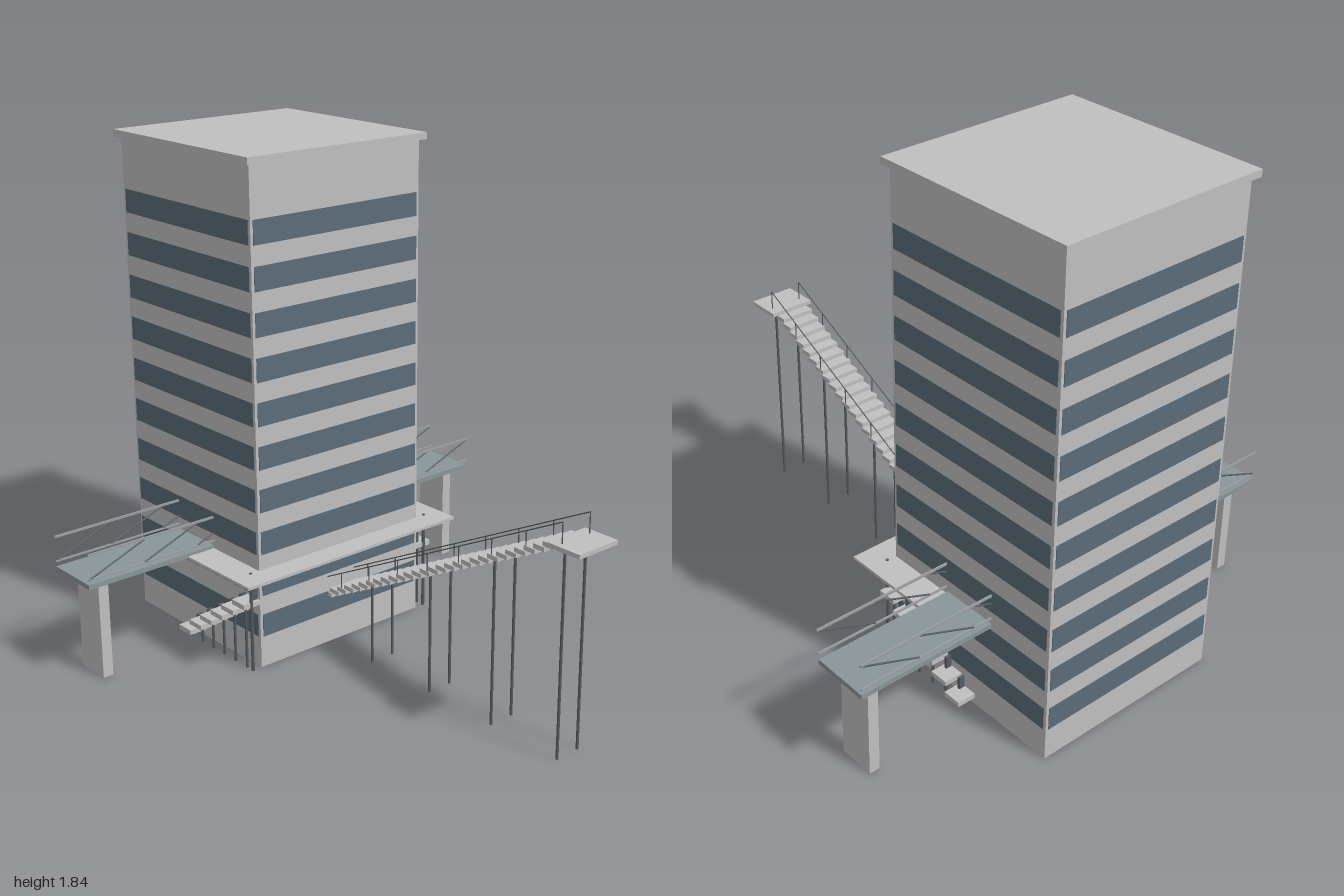
import * as THREE from 'three';

const mat = (name, color) => {
  const m = new THREE.MeshStandardMaterial({ color });
  m.name = name;
  return m;
};

export function createModel() {
  const concrete = mat('concrete', 0xbfbfbf);
  const glass = mat('window glass', 0x5b6c78);
  const deckBlue = mat('bridge deck', 0x89969a);
  const steel = mat('dark steel', 0x555c62);
  const rail = mat('rail grey', 0x9a9ea1);

  const root = new THREE.Group();
  root.name = 'towerWithWalkways';
  const group = (name) => {
    const g = new THREE.Group();
    g.name = name;
    root.add(g);
    return g;
  };
  // Box given by its minimum and maximum corners
  const box = (parent, name, m, x0, x1, y0, y1, z0, z1) => {
    const mesh = new THREE.Mesh(new THREE.BoxGeometry(x1 - x0, y1 - y0, z1 - z0), m);
    mesh.position.set((x0 + x1) / 2, (y0 + y1) / 2, (z0 + z1) / 2);
    mesh.name = name;
    parent.add(mesh);
  };
  // Thin round bar between two points
  const bar = (parent, name, m, a, b, r) => {
    const p = new THREE.Vector3(...a), q = new THREE.Vector3(...b);
    const d = q.clone().sub(p);
    const mesh = new THREE.Mesh(new THREE.CylinderGeometry(r, r, d.length(), 8), m);
    mesh.position.copy(p).add(q).multiplyScalar(0.5);
    mesh.quaternion.setFromUnitVectors(new THREE.Vector3(0, 1, 0), d.normalize());
    mesh.name = name;
    parent.add(mesh);
  };

  // Tower, roof slab and window bands on all four faces
  const tower = group('tower');
  const zc = -0.605, h = 0.375, w = 0.364, t = 0.002;
  box(tower, 'towerBody', concrete, -h, h, 0, 1.815, zc - h, zc + h);
  box(tower, 'roofSlab', concrete, -0.395, 0.395, 1.815, 1.84, -1, -0.21);
  for (let i = 0; i < 10; i++) {
    const y = 0.118 + i * 0.1583;
    for (const s of [-1, 1]) {
      const f = zc + s * h, x = s * h;
      box(tower, 'windowBand', glass, -w, w, y, y + 0.086, f - t, f + t);
      box(tower, 'windowBand', glass, x - t, x + t, y, y + 0.086, zc - w, zc + w);
    }
  }

  // Terrace wrapping the front of the tower
  const terrace = group('terrace');
  box(terrace, 'terraceSlab', concrete, -0.49, 0.488, 0.366, 0.377, -0.5, -0.14);
  for (const s of [-1, 1])
    bar(terrace, 'terraceColumn', steel, [s * 0.413, 0, -0.23], [s * 0.413, 0.38, -0.23], 0.006);

  // Side bridges with piers and braced railings
  for (const s of [-1, 1]) {
    const bridge = group(s > 0 ? 'leftBridge' : 'rightBridge');
    const inner = s * 0.37, outer = s * 0.902;
    const x0 = Math.min(inner, outer), x1 = Math.max(inner, outer);
    box(bridge, 'bridgeDeck', deckBlue, x0, x1, 0.37, 0.388, -0.717, -0.5);
    box(bridge, 'bridgePier', concrete, s * 0.825 - 0.02, s * 0.825 + 0.02, 0, 0.37, -0.672, -0.535);
    for (const z of [-0.715, -0.497]) {
      box(bridge, 'topRail', rail, x0, x1, 0.496, 0.504, z - 0.003, z + 0.003);
      box(bridge, 'bottomRail', rail, x0, x1, 0.405, 0.411, z - 0.003, z + 0.003);
      // Braces lean the same way on both bridges
      for (let k = 0; k < 2; k++) {
        const a = (s > 0 ? 0.45 : -0.896) + k * 0.223;
        bar(bridge, 'brace', steel, [a, 0.411, z], [a + 0.223, 0.496, z], 0.003);
      }
      const e = s > 0 ? 0.36 : -0.45;
      const slope = 0.085 / 0.223;
      const y0 = s > 0 ? 0.461 : 0.411;
      bar(bridge, 'brace', steel, [e, y0, z], [e + 0.09, y0 + 0.09 * slope, z], 0.003);
    }
  }

  // Long front staircase with landing, slim columns and handrails
  const stair = group('frontStair');
  box(stair, 'landing', concrete, -0.088, 0.088, 0.743, 0.758, 0.865, 1);
  for (let i = 0; i < 28; i++) {
    const z = 0.85 - i * 0.04, y = 0.735 - i * 0.02;
    box(stair, 'tread', concrete, -0.066, 0.066, y - 0.008, y + 0.008, z - 0.024, z + 0.024);
  }
  const stepY = (z) => Math.min(0.745, 0.735 - (0.85 - z) * 0.5);
  const railY = (z) => 0.83 - (0.905 - z) * 0.5;
  for (const s of [-1, 1]) {
    for (const z of [0.905, 0.605, 0.302, 0])
      bar(stair, 'stairColumn', steel, [s * 0.048, 0, z], [s * 0.048, stepY(z), z], 0.005);
    for (let k = 0; k < 8; k++) {
      const z = 0.905 - k * 0.151;
      bar(stair, 'railPost', steel, [s * 0.063, stepY(z), z], [s * 0.063, railY(z), z], 0.002);
    }
    bar(stair, 'handrail', steel, [s * 0.063, railY(0.905), 0.905], [s * 0.063, railY(-0.23), -0.23], 0.002);
  }

  // Small stairs descending along both tower sides
  for (const s of [-1, 1]) {
    const side = group(s > 0 ? 'leftSideStair' : 'rightSideStair');
    const span = (a, b) => (s > 0 ? [a, b] : [-b, -a]);
    for (let i = 0; i < 6; i++) {
      const z = -0.265 - i * 0.068, y = 0.256 - i * 0.0445;
      box(side, 'sideTread', concrete, ...span(0.37, 0.446), y - 0.009, y + 0.009, z - 0.036, z + 0.036);
      box(side, 'treadBracket', steel, ...span(0.377, 0.4), y + 0.009, y + 0.055, z + 0.013, z + 0.023);
      bar(side, 'treadPost', steel, [s * 0.413, 0, z], [s * 0.413, y, z], 0.005);
    }
  }

  return root;
}
